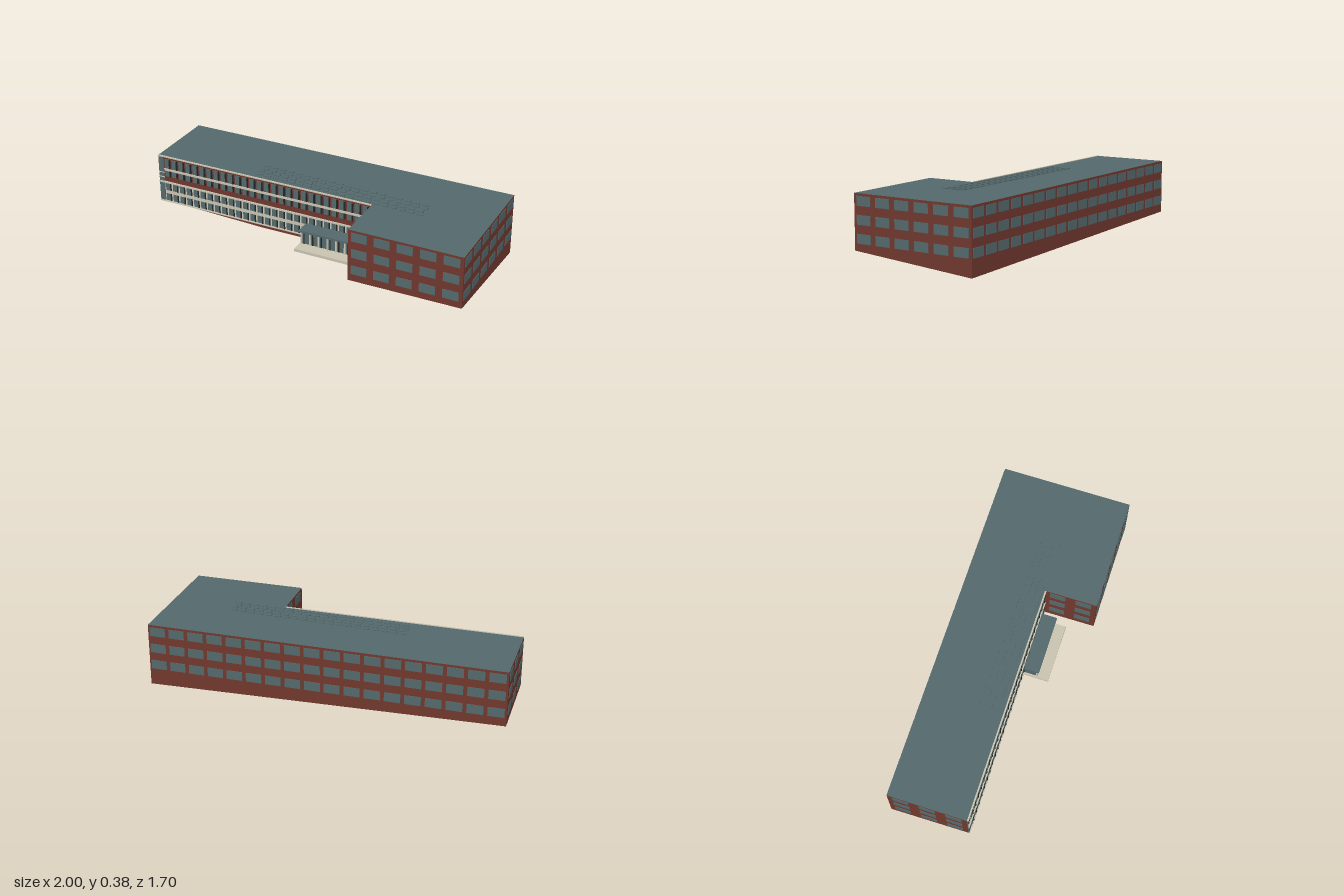
import * as THREE from 'three';
import { mergeGeometries } from 'three/addons/utils/BufferGeometryUtils.js';

const mat = (name, color, side = THREE.FrontSide) => {
  const m = new THREE.MeshStandardMaterial({ color, side });
  m.name = name;
  return m;
};

export function createModel() {
  const brick = mat('brick', 0x71382e);
  const slate = mat('slateGlass', 0x54696c);
  const stone = mat('paleStone', 0xc9c3b1);
  const dark = mat('darkFrame', 0x20292b);

  const root = new THREE.Group();
  root.name = 'schoolBuilding';
  // The plan is drawn square to its own axes, then turned
  const plan = new THREE.Group();
  plan.name = 'plan';
  plan.position.set(-0.77, 0, -0.85);
  plan.rotation.y = -0.5345;
  root.add(plan);

  const TOP = 0.37;
  // Footprint corners: along, depth, height of the sloping base
  const outline = [
    [0, 0.453, 0.073], [0.7, 0.453, 0.05], [1.387, 0.453, 0.05], [1.387, 0.757, 0.055],
    [2.05, 0.757, 0.06], [2.05, 0, 0], [0.5, 0, 0.038], [0, 0, 0.05],
  ];

  const addTriangles = (name, material, positions) => {
    const g = new THREE.BufferGeometry();
    g.setAttribute('position', new THREE.Float32BufferAttribute(positions, 3));
    g.computeVertexNormals();
    const mesh = new THREE.Mesh(g, material);
    mesh.name = name;
    plan.add(mesh);
  };

  // Brick walls, underside and flat roof
  const walls = [], under = [], roof = [];
  outline.forEach(([x, z, y], i) => {
    const [x2, z2, y2] = outline[(i + 1) % outline.length];
    walls.push(x, y, z, x2, y2, z2, x2, TOP, z2, x, y, z, x2, TOP, z2, x, TOP, z);
  });
  const contour = outline.map(([x, z]) => new THREE.Vector2(x, -z));
  for (const [a, b, c] of THREE.ShapeUtils.triangulateShape(contour, [])) {
    for (const k of [a, b, c]) roof.push(outline[k][0], TOP, outline[k][1]);
    for (const k of [c, b, a]) under.push(outline[k][0], outline[k][2], outline[k][1]);
  }
  addTriangles('brickWalls', brick, walls);
  addTriangles('underside', brick, under);
  addTriangles('flatRoof', slate, roof);

  // A wall frame: x runs along the wall, z points outwards
  const wallFrame = (name, x, z, x2, z2) => {
    const g = new THREE.Group();
    g.name = name;
    g.position.set(x, 0, z);
    g.rotation.y = Math.atan2(z - z2, x2 - x);
    plan.add(g);
    return g;
  };
  // Boxes given as [x0, x1, y0, y1, z0, z1], merged into one mesh
  const boxes = (parent, name, material, list) => {
    const mesh = new THREE.Mesh(mergeGeometries(list.map(([x0, x1, y0, y1, z0, z1]) =>
      new THREE.BoxGeometry(x1 - x0, y1 - y0, z1 - z0)
        .translate((x0 + x1) / 2, (y0 + y1) / 2, (z0 + z1) / 2))), material);
    mesh.name = name;
    parent.add(mesh);
  };

  // Three rows of windows on each plain brick wall
  const plainWalls = [
    ['wingInnerWall', 1.387, 0.453, 1.387, 0.757, 2],
    ['wingFrontWall', 1.387, 0.757, 2.05, 0.757, 5],
    ['longEndWall', 2.05, 0.757, 2.05, 0, 6],
    ['backWall', 2.05, 0, 0, 0, 18],
    ['shortEndWall', 0, 0, 0, 0.453, 3],
  ];
  for (const [name, x, z, x2, z2, count] of plainWalls) {
    const wall = wallFrame(name, x, z, x2, z2);
    const pitch = Math.hypot(x2 - x, z2 - z) / count;
    const panes = [];
    for (let i = 0; i < count; i++) {
      const c = (i + 0.5) * pitch;
      for (const y of [0.1, 0.202, 0.303]) panes.push([c - 0.046, c + 0.046, y, y + 0.053, -0.003, 0.003]);
    }
    boxes(wall, name + 'Windows', slate, panes);
  }

  // Long front facade with bands of narrow windows
  const facade = wallFrame('frontFacade', 0, 0.453, 1.387, 0.453);
  boxes(facade, 'stoneBands', stone, [
    [0.036, 1.385, 0.075, 0.205, 0, 0.003],
    [0.036, 1.385, 0.276, 0.29, 0, 0.004],
    [0, 1.385, 0.196, 0.205, 0, 0.009],
    [0, 1.385, 0.366, 0.373, 0, 0.009],
    [0, 1.385, 0.071, 0.077, 0, 0.009],
    [0, 0.036, 0.23, 0.235, 0, 0.006],
    [0, 0.036, 0.26, 0.265, 0, 0.006],
  ]);
  boxes(facade, 'endPanel', slate, [[0, 0.034, 0.077, 0.366, 0, 0.004]]);
  const panes = [], fins = [];
  const bays = 28, step = (1.38 - 0.042) / bays;
  for (let i = 0; i < bays; i++) {
    const x = 0.042 + i * step;
    for (const [y0, y1] of [[0.08, 0.125], [0.148, 0.192], [0.24, 0.276], [0.294, 0.352]]) {
      panes.push([x, x + 0.034, y0, y1, 0, 0.005]);
      fins.push([x + 0.03, x + 0.037, y0, y1, 0, 0.008]);
    }
  }
  boxes(facade, 'facadeWindows', slate, panes);
  boxes(facade, 'facadeMullions', dark, fins);

  // Entrance porch: platform, glazed lobby, posts and canopy
  const porch = new THREE.Group();
  porch.name = 'entrancePorch';
  plan.add(porch);
  boxes(porch, 'platform', stone, [[0.98, 1.33, 0.047, 0.064, 0.45, 0.606]]);
  boxes(porch, 'lobbyGlass', slate, [[0.99, 1.32, 0.064, 0.142, 0.45, 0.53]]);
  boxes(porch, 'canopy', slate, [[0.98, 1.332, 0.142, 0.154, 0.45, 0.548]]);
  const posts = [], frames = [];
  for (let i = 0; i <= 6; i++) {
    const x = 0.99 + i * 0.0545;
    posts.push([x - 0.004, x + 0.004, 0.064, 0.142, 0.53, 0.54]);
    if (i < 6) frames.push([x + 0.012, x + 0.018, 0.064, 0.142, 0.528, 0.534]);
  }
  boxes(porch, 'porchPosts', stone, posts);
  boxes(porch, 'doorFrames', dark, frames);

  // Low raised tiles in staggered rows on the roof
  const tiles = [];
  for (let r = 0; r < 4; r++) {
    for (let i = 0; i < 20; i++) {
      const x = 0.63 + i * 0.053 + (r % 2) * 0.012;
      const z = 0.29 + r * 0.036 + i * 0.0016;
      tiles.push([x, x + 0.036, TOP - 0.002, TOP + 0.005, z, z + 0.022]);
    }
  }
  boxes(plan, 'roofTiles', slate, tiles);

  return root;
}
